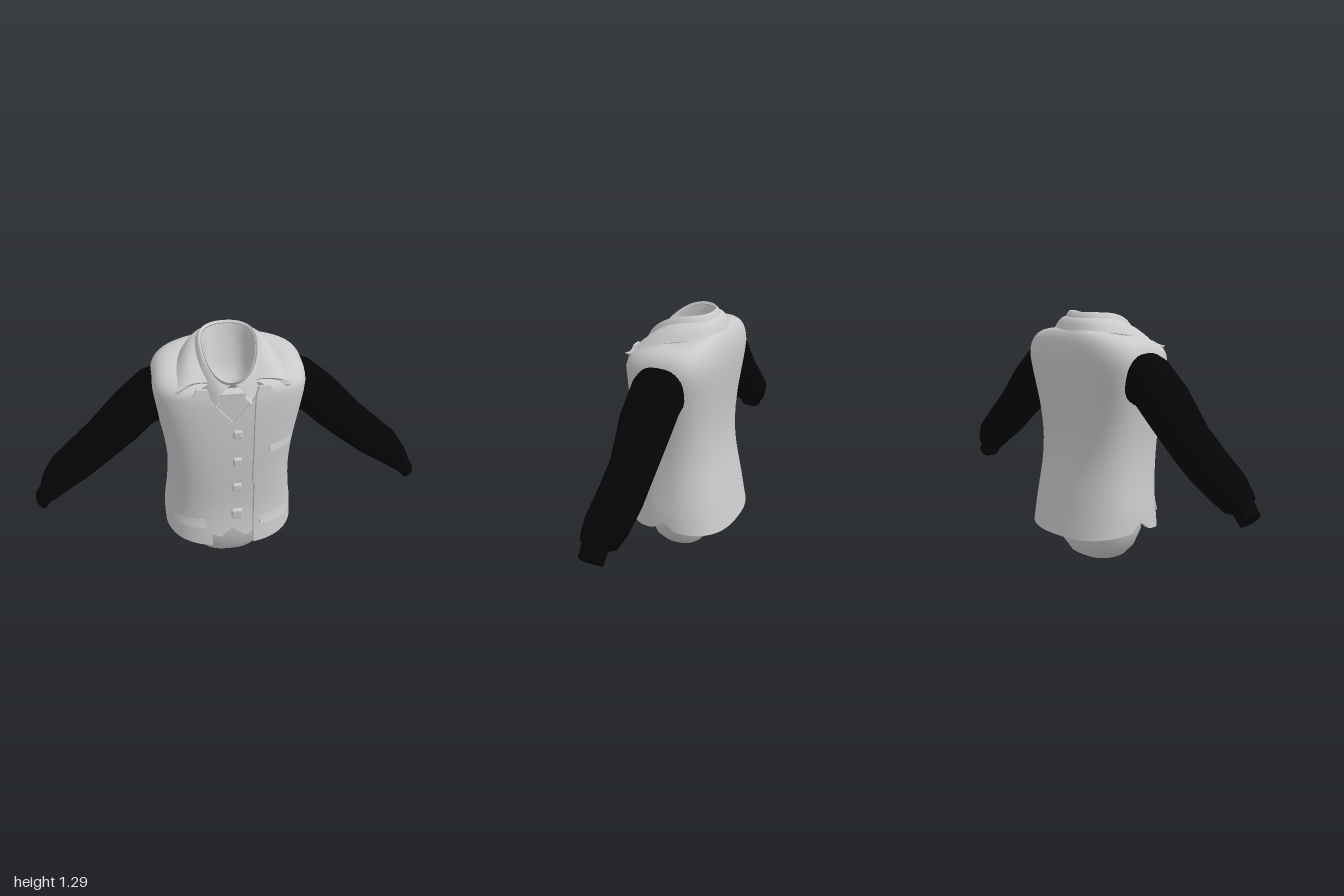
import * as THREE from 'three';
import { toCreasedNormals } from 'three/addons/utils/BufferGeometryUtils.js';
import { RoundedBoxGeometry } from 'three/addons/geometries/RoundedBoxGeometry.js';

const { lerp, clamp } = THREE.MathUtils;
const V = (x, y, z) => new THREE.Vector3(x, y, z);
const spow = (a, p) => Math.sign(a) * Math.pow(Math.abs(a), p);

// Outer body sections: y, half width, front z, back z, squareness
const SECTIONS = [
  [0.15, 0.34, 0.27, -0.272, 2.5], [0.22, 0.336, 0.262, -0.258, 2.5], [0.3, 0.333, 0.25, -0.243, 2.5],
  [0.4, 0.32, 0.243, -0.222, 2.6], [0.5, 0.312, 0.245, -0.2, 2.7], [0.6, 0.31, 0.248, -0.187, 2.8],
  [0.7, 0.317, 0.25, -0.184, 2.9], [0.8, 0.332, 0.25, -0.188, 3], [0.9, 0.352, 0.248, -0.198, 3.1],
  [1.0, 0.37, 0.244, -0.208, 3.3], [1.06, 0.376, 0.238, -0.211, 3.4], [1.12, 0.375, 0.224, -0.205, 3.4],
  [1.18, 0.35, 0.2, -0.19, 3.4],
];

// Interpolate a row of a table keyed by its first column
function sample(table, y) {
  let i = 0;
  while (i < table.length - 2 && y > table[i + 1][0]) i++;
  const a = table[i], b = table[i + 1], t = clamp((y - a[0]) / (b[0] - a[0]), 0, 1);
  return a.map((n, k) => lerp(n, b[k], t));
}

// Point on a rounded-square ring; angle 0 is the front, growing towards +x
const ring = (th, w, zf, zb, y, n) => V(
  w * spow(Math.sin(th), 2 / n), y,
  (zf + zb) / 2 + (zf - zb) / 2 * spow(Math.cos(th), 2 / n));

function bodyPoint(th, y, off = 0) {
  const [, w, zf, zb, n] = sample(SECTIONS, y);
  return ring(th, w + off, zf + off, zb - off, y, n);
}

// Front surface of the body at a given x and y
function frontPoint(x, y, off = 0) {
  const [, w, zf, zb, n] = sample(SECTIONS, y);
  const d = (zf - zb) / 2;
  return V(x, y, (zf + zb) / 2 + d * Math.pow(1 - Math.min(0.99, Math.pow(Math.abs(x) / w, n)), 1 / n) + off);
}

// Shoulder curve from the chest ring up to the neck ring
const CHEST = 1.06;
function shoulderPoint(th, t, off = 0) {
  const a = bodyPoint(th, CHEST, off), c = Math.cos(th);
  const n = V((0.18 + off) * Math.sin(th), 1.165 - 0.05 * c + off, 0.03 + (0.175 + off) * c);
  const k = V(a.x * 0.99, n.y - 0.005 + 0.06 * (1 - Math.abs(c)), a.z * 0.98);
  return new THREE.QuadraticBezierCurve3(a, k, n).getPoint(t);
}

// Grid surface from f(u, v); a thickness adds an inner side and a rim
function sheet(f, nu, nv, thick = 0) {
  const pos = [], idx = [], id = (i, j) => j * (nu + 1) + i;
  for (let j = 0; j <= nv; j++)
    for (let i = 0; i <= nu; i++) pos.push(...f(i / nu, j / nv).toArray());
  const quad = (a, b, c, d) => idx.push(a, b, c, a, c, d);
  for (let j = 0; j < nv; j++)
    for (let i = 0; i < nu; i++) quad(id(i, j), id(i + 1, j), id(i + 1, j + 1), id(i, j + 1));
  let g = new THREE.BufferGeometry();
  g.setAttribute('position', new THREE.Float32BufferAttribute(pos, 3));
  g.setIndex(idx);
  if (thick) {
    g.computeVertexNormals();
    const nrm = g.attributes.normal.array, m = (nu + 1) * (nv + 1);
    const all = pos.concat(pos.map((p, k) => p - nrm[k] * thick));
    for (let k = 0, n = idx.length; k < n; k += 3) idx.push(idx[k] + m, idx[k + 2] + m, idx[k + 1] + m);
    const rim = (a, b) => quad(b, a, a + m, b + m);
    for (let i = 0; i < nu; i++) { rim(id(i, 0), id(i + 1, 0)); rim(id(i + 1, nv), id(i, nv)); }
    for (let j = 0; j < nv; j++) { rim(id(nu, j), id(nu, j + 1)); rim(id(0, j + 1), id(0, j)); }
    g = new THREE.BufferGeometry();
    g.setAttribute('position', new THREE.Float32BufferAttribute(all, 3));
    g.setIndex(idx);
  }
  return toCreasedNormals(g, 0.6);
}

const mirrored = f => (u, v) => { const p = f(1 - u, v); p.x *= -1; return p; };

export function createModel() {
  const group = new THREE.Group();
  const cloth = new THREE.MeshStandardMaterial({ color: 0xcacaca, side: THREE.DoubleSide });
  cloth.name = 'greyCloth';
  const black = new THREE.MeshStandardMaterial({ color: 0x050505 });
  black.name = 'blackKnit';
  const add = (name, geo, mat = cloth) => {
    const m = new THREE.Mesh(geo, mat);
    m.name = name;
    group.add(m);
    return m;
  };
  const pair = (name, f, nu, nv, thick, mat) => {
    add(name + 'Left', sheet(f, nu, nv, thick), mat);
    add(name + 'Right', sheet(mirrored(f), nu, nv, thick), mat);
  };

  // Collar fold line: high at the back, dipping to the throat
  const fold = (th, grow = 0, drop = 0) => {
    const p = ring(th, 0.138 + grow, 0.212 + grow, -0.12 - grow, 0, 2.3);
    p.y = 1.29 - 0.165 * Math.pow(clamp((p.z + 0.12) / 0.332, 0, 1), 3) - drop;
    return p;
  };

  // Shirt: rounded base, torso, shoulders, then down into the neck hollow
  const base = [[0.003, 0.001, 0.03, 0.02], [0.006, 0.1, 0.1, -0.06], [0.022, 0.15, 0.138, -0.09],
    [0.08, 0.208, 0.168, -0.12], [0.17, 0.252, 0.187, -0.142], [0.3, 0.27, 0.197, -0.15]];
  const rows = base.map(([y, w, f, b]) => th => ring(th, w, f, b, y, 2.5));
  for (const y of [0.45, 0.6, 0.75, 0.9, CHEST]) rows.push(th => bodyPoint(th, y, -0.034));
  for (const t of [0.25, 0.5, 0.75, 1]) rows.push(th => shoulderPoint(th, t, -0.03));
  rows.push(th => fold(th, -0.012, 0.012), th => fold(th, -0.025, 0.05));
  for (const [s, y] of [[1, 1.1], [0.7, 1.03], [0.01, 0.98]])
    rows.push(th => ring(th, 0.105 * s, 0.06 + 0.105 * s, 0.06 - 0.11 * s, y, 2.8));
  add('shirt', sheet((u, v) => rows[Math.round(v * (rows.length - 1))](u * Math.PI * 2), 56, rows.length - 1));

  // Waistcoat front with a V neck and a notched hem
  add('waistcoat', sheet((u, v) => {
    const x = lerp(-0.15, 0.15, u), a = Math.abs(x);
    const low = a < 0.065 ? 0.26 - a * 0.85 : 0.205 + (a - 0.065) * 0.5;
    return frontPoint(x, lerp(low, 0.92 + a * 1.15, v), -0.02);
  }, 30, 16, 0.012));

  // Sleeveless jacket shell, open at the front, with notched side hems
  const CUT = 0.62;
  add('jacket', sheet((u, v) => {
    const t = clamp((v - CUT) / (1 - CUT), 0, 1);
    const q = Math.PI / 2, [, w, , , n] = sample(SECTIONS, lerp(0.17, CHEST, Math.min(1, v / CUT)));
    const th0 = lerp(Math.asin(Math.pow(0.108 / w, n / 2)), 0.55, t);
    const th = u < 0.25 ? lerp(th0, q, u * 4) : u > 0.75 ? lerp(3 * q, 4 * q - th0, u * 4 - 3) : lerp(q, 3 * q, u * 2 - 0.5);
    if (t > 0) return shoulderPoint(th, t);
    const s = Math.abs(Math.cos(th));
    const hem = 0.215 - 0.045 * s + 0.035 * Math.max(0, 1 - s / 0.16);
    return bodyPoint(th, lerp(hem, CHEST, v / CUT));
  }, 80, 29, 0.02));

  // Lapels: y, inner x, outer x
  const lapel = [[0.56, 0.098, 0.106], [0.72, 0.1, 0.155], [0.88, 0.102, 0.203], [1.03, 0.106, 0.25],
    [1.045, 0.106, 0.24], [1.08, 0.11, 0.2], [1.12, 0.122, 0.175]];
  pair('lapel', (u, v) => {
    const k = v * 6, i = Math.min(5, Math.floor(k));
    const [y, a, b] = lapel[i].map((n, c) => lerp(n, lapel[i + 1][c], k - i));
    return frontPoint(lerp(a, b, u), y, 0.012);
  }, 6, 12, 0.024);

  // Folded collars: fold line to outer edge, flared into points at the front
  const collar = (name, start, grow, drop, outer, fall, wide, tip, reach, thick) => add(name, sheet((u, v) => {
    const th = lerp(start, Math.PI * 2 - start, u), side = th < Math.PI ? 1 : -1;
    const near = Math.min(th, Math.PI * 2 - th);
    const top = fold(th, grow, drop), low = fold(th, outer, fall);
    low.x *= wide;
    const k = Math.pow(clamp(1 - (near - start) / reach, 0, 1), 1.4);
    low.lerp(V(tip[0] * side, tip[1], tip[2]), k);
    const p = low.lerp(top, v);
    p.y += 0.014 * Math.sin(v * Math.PI);
    return p;
  }, 60, 5, thick));
  collar('shirtCollar', 0.06, 0, 0, 0.03, 0.07, 1, [0.088, 1.035, 0.24], 0.95, 0.014);
  collar('jacketCollar', 0.75, 0.018, 0.028, 0.056, 0.09, 1.22, [0.28, 1.115, 0.205], 1.7, 0.018);

  // Raised pocket welts and flaps
  const pocket = (x0, x1, y0, y1, slope) => (u, v) => {
    const x = lerp(x0, x1, u);
    return frontPoint(x, lerp(y0, y1, v) + slope * (x - x0), 0.002 + 0.009 * (1 - v));
  };
  pair('pocketFlap', pocket(0.14, 0.3, 0.285, 0.33, -0.05), 8, 2, 0.014);
  add('breastPocket', sheet(pocket(0.18, 0.295, 0.745, 0.78, 0.08), 8, 2, 0.014));

  // Buttons
  for (const [y, s] of [[0.855, 0.045], [0.69, 0.045], [0.525, 0.046], [0.352, 0.056]]) {
    const b = add('button', new RoundedBoxGeometry(s, s, 0.024, 2, 0.009));
    b.position.copy(frontPoint(0.022, y, -0.014));
  }

  // Sleeves: upper x, y, lower x, y, front z, back z
  const sleeve = [[0.31, 1.13, 0.31, 0.86, 0.112, -0.118], [0.42, 1.085, 0.37, 0.845, 0.125, -0.122],
    [0.55, 0.97, 0.47, 0.745, 0.125, -0.115], [0.7, 0.8, 0.6, 0.625, 0.1, -0.102],
    [0.8, 0.705, 0.7, 0.545, 0.105, -0.1], [0.905, 0.605, 0.83, 0.465, 0.116, -0.09],
    [0.95, 0.535, 0.89, 0.425, 0.115, -0.065], [0.965, 0.505, 0.9, 0.42, 0.11, -0.035],
    [0.958, 0.495, 0.907, 0.422, 0.1, -0.025], [1.0, 0.43, 0.95, 0.37, 0.1, -0.02],
    [0.976, 0.403, 0.974, 0.401, 0.041, 0.039]];
  pair('sleeve', (u, v) => {
    const [ax, ay, bx, by, zf, zb] = sleeve[Math.round(v * (sleeve.length - 1))];
    const p = ring(-u * Math.PI * 2, 1, zf, zb, 0, 2.7), t = (1 - p.x) / 2;
    return V(lerp(ax, bx, t), lerp(ay, by, t), p.z);
  }, 28, sleeve.length - 1, 0, black);

  return group;
}
